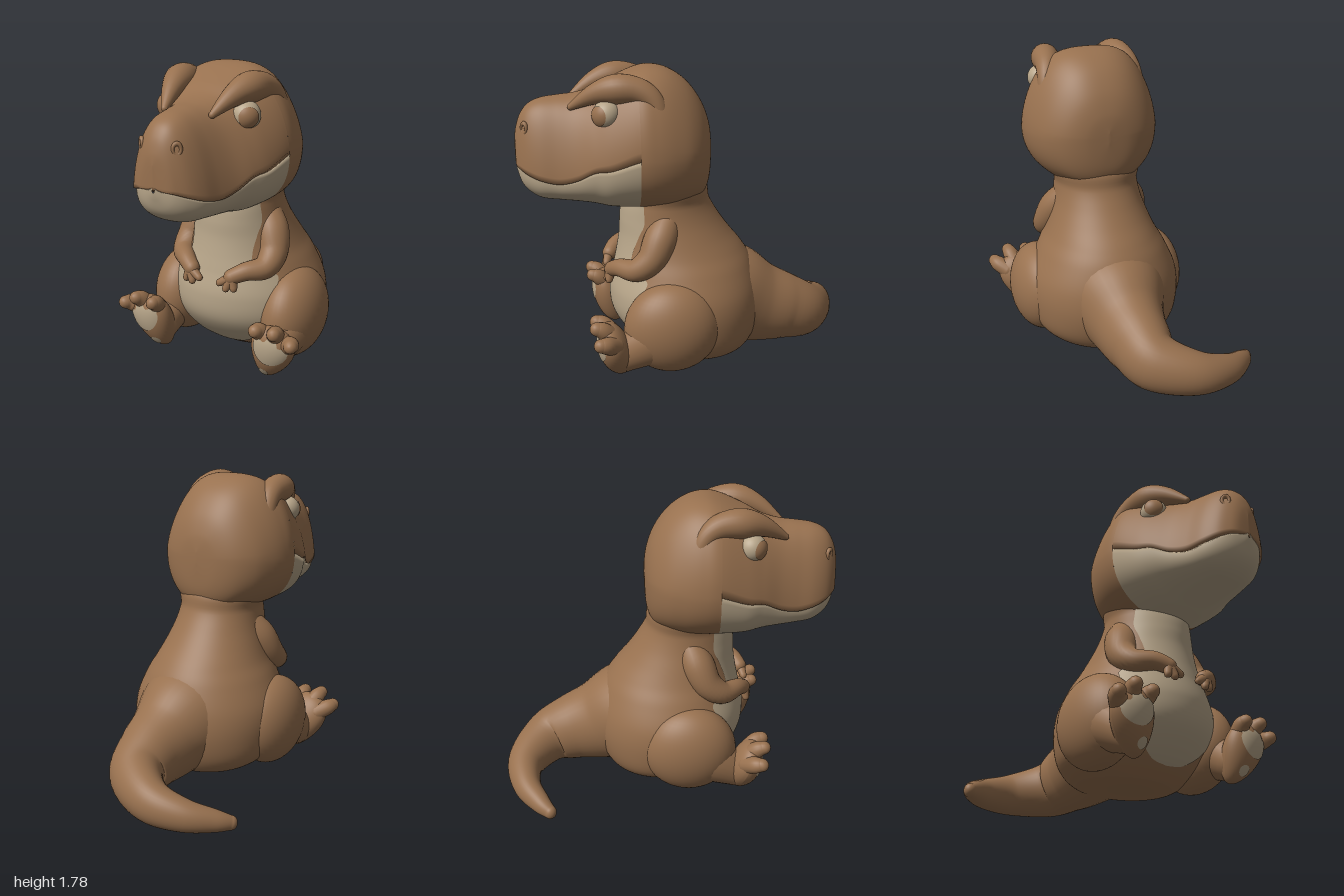
import * as THREE from 'three';
import { mergeVertices } from 'three/addons/utils/BufferGeometryUtils.js';

const brown = new THREE.MeshStandardMaterial({ name: 'brown skin', color: 0x98714f });
const cream = new THREE.MeshStandardMaterial({ name: 'cream skin', color: 0xb7a589 });
const MID = 0.055; // the body's plane of symmetry

// Surface from fn(u, v) -> [x, y, z]; faces are turned outward by signed volume
function surface(fn, nu, nv) {
  const pos = [], idx = [];
  for (let i = 0; i <= nu; i++) for (let j = 0; j <= nv; j++) pos.push(...fn(i / nu, j / nv));
  for (let i = 0; i < nu; i++) for (let j = 0; j < nv; j++) {
    const a = i * (nv + 1) + j, b = a + nv + 1;
    idx.push(a, b, a + 1, b, b + 1, a + 1);
  }
  const P = (k) => new THREE.Vector3(pos[3 * k], pos[3 * k + 1], pos[3 * k + 2]);
  let volume = 0;
  for (let k = 0; k < idx.length; k += 3) volume += P(idx[k]).dot(P(idx[k + 1]).cross(P(idx[k + 2])));
  if (volume < 0) idx.reverse();
  let geo = new THREE.BufferGeometry();
  geo.setAttribute('position', new THREE.Float32BufferAttribute(pos, 3));
  geo.setIndex(idx);
  geo = mergeVertices(geo, 1e-5);
  geo.computeVertexNormals();
  return geo;
}

// Smooth interpolation through rows of numbers
function sample(rows, t) {
  const f = Math.min(Math.max(t, 0), 1) * (rows.length - 1), i = Math.min(Math.floor(f), rows.length - 2), w = f - i;
  const p = (k) => rows[Math.min(Math.max(k, 0), rows.length - 1)];
  return rows[0].map((_, c) => {
    const a = p(i - 1)[c], b = p(i)[c], d = p(i + 1)[c], e = p(i + 2)[c];
    return b + 0.5 * w * (d - a + w * (2 * a - 5 * b + 4 * d - e + w * (3 * (b - d) + e - a)));
  });
}

// Round-ended tapered tube through [x, y, z, radius, (second radius)]
function limb(rows, ref = [0, 1, 0], nu = 40, nv = 24) {
  const axis = new THREE.Vector3(...ref), cap = 0.15;
  return surface((u, v) => {
    const t = Math.min(Math.max((u - cap) / (1 - 2 * cap), 0), 1);
    const q = sample(rows, t), r = q[3], r2 = q[4] ?? r;
    const tan = new THREE.Vector3(...sample(rows, t + 0.01)).sub(new THREE.Vector3(...sample(rows, t - 0.01))).normalize();
    const n = new THREE.Vector3().crossVectors(tan, axis).normalize();
    const b = new THREE.Vector3().crossVectors(n, tan);
    const over = u < cap ? u / cap - 1 : u > 1 - cap ? (u - 1 + cap) / cap : 0;
    const k = Math.max(0, Math.cos(over * Math.PI / 2)), a = v * Math.PI * 2;
    return new THREE.Vector3(q[0], q[1], q[2]).addScaledVector(tan, r * Math.sin(over * Math.PI / 2))
      .addScaledVector(n, r * k * Math.cos(a)).addScaledVector(b, r2 * k * Math.sin(a)).toArray();
  }, nu, nv);
}

const ball = (rx, ry, rz) => new THREE.SphereGeometry(1, 40, 28).scale(rx, ry, rz);

function add(parent, name, geo, mat, pos = [0, 0, 0]) {
  const m = new THREE.Mesh(geo, mat);
  m.name = name;
  m.position.set(...pos);
  parent.add(m);
  return m;
}

// Torso rows: y, half width, back z, front z
const TORSO = [[0.025, 0, -0.05, 0.0], [0.03, 0.2, -0.2, 0.15], [0.06, 0.32, -0.35, 0.22], [0.15, 0.43, -0.42, 0.34],
  [0.3, 0.47, -0.46, 0.45], [0.45, 0.46, -0.45, 0.47], [0.6, 0.395, -0.4, 0.44], [0.7, 0.34, -0.34, 0.42],
  [0.8, 0.3, -0.26, 0.405], [0.9, 0.27, -0.19, 0.4], [1.0, 0.255, -0.135, 0.385], [1.12, 0.25, -0.1, 0.34], [1.2, 0, 0.1, 0.12]];
// Belly patch rows: y, half width
const BELLY = [[0.1, 0.01], [0.12, 0.12], [0.2, 0.23], [0.3, 0.285], [0.45, 0.325], [0.55, 0.335], [0.6, 0.31],
  [0.65, 0.22], [0.72, 0.2], [0.82, 0.21], [0.9, 0.222], [1.0, 0.21], [1.08, 0.2]];

function torsoAt(y) {
  let lo = 0, hi = 1;
  for (let k = 0; k < 24; k++) { const m = (lo + hi) / 2; if (sample(TORSO, m)[0] < y) lo = m; else hi = m; }
  return sample(TORSO, lo);
}

// Head rows: z, mouth-line y, top y, bottom y, half width above, half width below, squareness above
const HEAD = [[1.0, 1.27, 1.38, 1.25, 0, 0, 0.92], [0.99, 1.25, 1.45, 1.2, 0.085, 0.04, 0.92],
  [0.965, 1.237, 1.525, 1.13, 0.135, 0.11, 0.92], [0.92, 1.215, 1.585, 1.08, 0.185, 0.165, 0.92],
  [0.85, 1.19, 1.62, 1.045, 0.225, 0.21, 0.92], [0.75, 1.175, 1.635, 1.035, 0.255, 0.24, 0.92],
  [0.65, 1.2, 1.645, 1.025, 0.29, 0.28, 0.92], [0.55, 1.255, 1.67, 1.01, 0.335, 0.33, 0.9],
  [0.45, 1.275, 1.72, 0.99, 0.375, 0.375, 0.83], [0.3, 1.33, 1.78, 0.98, 0.41, 0.41, 0.76],
  [0.2, 1.33, 1.795, 0.98, 0.41, 0.41, 0.8], [0.1, 1.33, 1.77, 0.98, 0.385, 0.385, 0.86],
  [0.0, 1.33, 1.7, 1.0, 0.335, 0.335, 0.92], [-0.08, 1.33, 1.59, 1.03, 0.25, 0.25, 0.92],
  [-0.125, 1.33, 1.47, 1.12, 0.14, 0.14, 0.92], [-0.14, 1.33, 1.36, 1.3, 0, 0, 0.92]];
const JAW_END = 9 / 15;

// Point on the head outline at an angle from the mouth corner, over the top or under the jaw
function headPoint(t, a, up) {
  const [z, m, top, bot, wu, wl, square] = sample(HEAD, t);
  const e = up ? square : 0.85, c = Math.cos(a), s = Math.abs(Math.sin(a));
  const w = Math.max(0, up ? wu * (1 - 0.1 * Math.abs(Math.sin(2 * a))) : wl);
  return [w * Math.sign(c) * Math.abs(c) ** e, m + ((up ? top : bot) - m) * s ** e, z];
}

// Front half of the head above or below the mouth line, closed across the mouth
function mouthHalf(t0, up) {
  return surface((u, v) => {
    const t = t0 + (JAW_END - t0) * u;
    if (v <= 0.9) return headPoint(t, Math.PI * v / 0.9, up);
    const p = headPoint(t, 0, up);
    return [p[0] * (-1 + 20 * (v - 0.9)), p[1], p[2]];
  }, 70, 60);
}

// Cream pad that hugs the sole; centre and size are fractions of the foot
const FOOT = [0.125, 0.185, 0.095];
const solePoint = (x, y, z) => [x * FOOT[0] * (1 + 0.35 * y), y * FOOT[1], z * FOOT[2]];
function solePad(cx, cy, a, b, lobes) {
  return surface((u, v) => {
    const p = v * Math.PI * 2, r = u * (1 + lobes * Math.max(0, Math.sin(p)) * Math.cos(6 * (p - Math.PI / 2)));
    const x = cx + a * r * Math.cos(p), y = cy + b * r * Math.sin(p);
    return solePoint(x, y, Math.sqrt(Math.max(0, 1 - x * x - y * y)) + 0.045);
  }, 12, 60);
}

function buildSide(root, s, side) {
  const at = (rows) => rows.map(([x, ...rest]) => [s * x, ...rest]);

  // Brow ridge, eye and nostril
  add(root, side + 'Brow', limb(at([[0.15, 1.595, 0.67, 0.02], [0.19, 1.67, 0.54, 0.058], [0.22, 1.7, 0.42, 0.085],
    [0.24, 1.69, 0.3, 0.075], [0.265, 1.64, 0.22, 0.06], [0.285, 1.55, 0.18, 0.05], [0.32, 1.45, 0.17, 0.02]]), [1, 0, 0]), brown);
  add(root, side + 'Eye', ball(0.08, 0.08, 0.08), cream, [s * 0.237, 1.565, 0.475]);
  const iris = new THREE.SphereGeometry(0.085, 32, 12, 0, Math.PI * 2, 0, 0.72).rotateX(Math.PI / 2).rotateY(s * 0.75);
  add(root, side + 'Iris', iris, brown, [s * 0.237, 1.565, 0.475]);
  const nostril = new THREE.TorusGeometry(0.026, 0.012, 12, 28).scale(0.8, 1.1, 1).rotateY(s * 0.7);
  add(root, side + 'Nostril', nostril, brown, [s * 0.108, 1.47, 0.935]);

  // Arm with three short fingers
  const plane = [s * 0.6, 0, 0.8];
  add(root, side + 'Arm', limb(at([[0.18, 0.92, 0.13, 0.08], [0.24, 0.82, 0.18, 0.1], [0.28, 0.71, 0.24, 0.088],
    [0.275, 0.645, 0.33, 0.07], [0.2, 0.635, 0.42, 0.054], [0.135, 0.605, 0.465, 0.046]]), plane), brown);
  for (const [x, y, z] of [[0.16, 0.545, 0.485], [0.115, 0.54, 0.495], [0.07, 0.565, 0.49]])
    add(root, side + 'Finger', limb(at([[0.14, 0.605, 0.47, 0.034], [x, y, z, 0.022]]), [0, 0, 1], 20, 14), brown);

  // Thigh and shin
  add(root, side + 'Thigh', ball(0.185, 0.275, 0.285), brown, [s * 0.37, 0.315, 0.13]);
  add(root, side + 'Shin', limb(at([[0.4, 0.3, 0.16, 0.14, 0.18], [0.395, 0.23, 0.3, 0.12, 0.14], [0.385, 0.165, 0.42, 0.095, 0.11]])), brown);

  // Foot with upright toes and sole pads
  const foot = new THREE.Group();
  foot.name = side + 'Foot';
  foot.position.set(s * 0.405, 0.205, 0.47);
  foot.rotation.set(0.3, 0, -s * 0.3);
  root.add(foot);
  const sole = ball(1, 1, 1), p = sole.attributes.position;
  for (let i = 0; i < p.count; i++) p.setXYZ(i, ...solePoint(p.getX(i), p.getY(i), p.getZ(i)));
  sole.computeVertexNormals();
  add(foot, 'sole', sole, brown);
  add(foot, 'ballPad', solePad(0.03 * s, 0.38, 0.74, 0.43, 0.22), cream);
  add(foot, 'heelPad', solePad(0, -0.54, 0.32, 0.18, 0), cream);
  for (const [x, y] of [[-0.105, 0.16], [0.005, 0.205], [0.115, 0.175]])
    add(foot, 'toe', limb(at([[x * 0.55, y * 0.5, -0.015, 0.055], [x * 0.9, y * 0.85, 0.02, 0.05], [x, y, 0.05, 0.04]]), [1, 0, 0], 28, 18), brown);
}

export function createModel() {
  const model = new THREE.Group();
  model.name = 'sittingDinosaur';
  const root = new THREE.Group();
  root.name = 'symmetricBody';
  root.position.x = MID;
  model.add(root);

  // Torso and belly patch
  add(root, 'torso', surface((u, v) => {
    const [y, w, zb, zf] = sample(TORSO, u), a = v * Math.PI * 2;
    return [Math.max(0, w) * Math.sin(a), y, (zb + zf) / 2 + (zf - zb) / 2 * Math.cos(a)];
  }, 80, 72), brown);
  add(root, 'belly', surface((u, v) => {
    const [y, half] = sample(BELLY, u), [, w, zb, zf] = torsoAt(y);
    const a = (2 * v - 1) * Math.asin(Math.min(0.97, half / w));
    return [(w + 0.006) * Math.sin(a), y, (zb + zf) / 2 + ((zf - zb) / 2 + 0.006) * Math.cos(a)];
  }, 90, 48), cream);

  // Head: brown muzzle over a cream jaw, rounded cranium behind
  add(root, 'muzzle', mouthHalf(0, true), brown);
  add(root, 'jaw', mouthHalf(0.02, false), cream);
  add(root, 'cranium', surface((u, v) =>
    headPoint(JAW_END + (1 - JAW_END) * u, 2 * Math.PI * v, v <= 0.5), 50, 96), brown);

  // Tail flaring into the back and curling to the right
  add(model, 'tail', limb([[MID, 0.4, -0.12, 0.36, 0.33], [MID, 0.34, -0.29, 0.3, 0.315], [MID, 0.28, -0.45, 0.23, 0.262],
    [0.045, 0.235, -0.61, 0.19, 0.22], [0, 0.185, -0.77, 0.155, 0.175], [-0.2, 0.14, -0.885, 0.115, 0.13],
    [-0.4, 0.105, -0.86, 0.085, 0.095], [-0.54, 0.075, -0.765, 0.06, 0.065], [-0.605, 0.055, -0.7, 0.038, 0.042]],
    [0, 1, 0], 80, 36), brown);

  buildSide(root, 1, 'left');
  buildSide(root, -1, 'right');
  return model;
}
